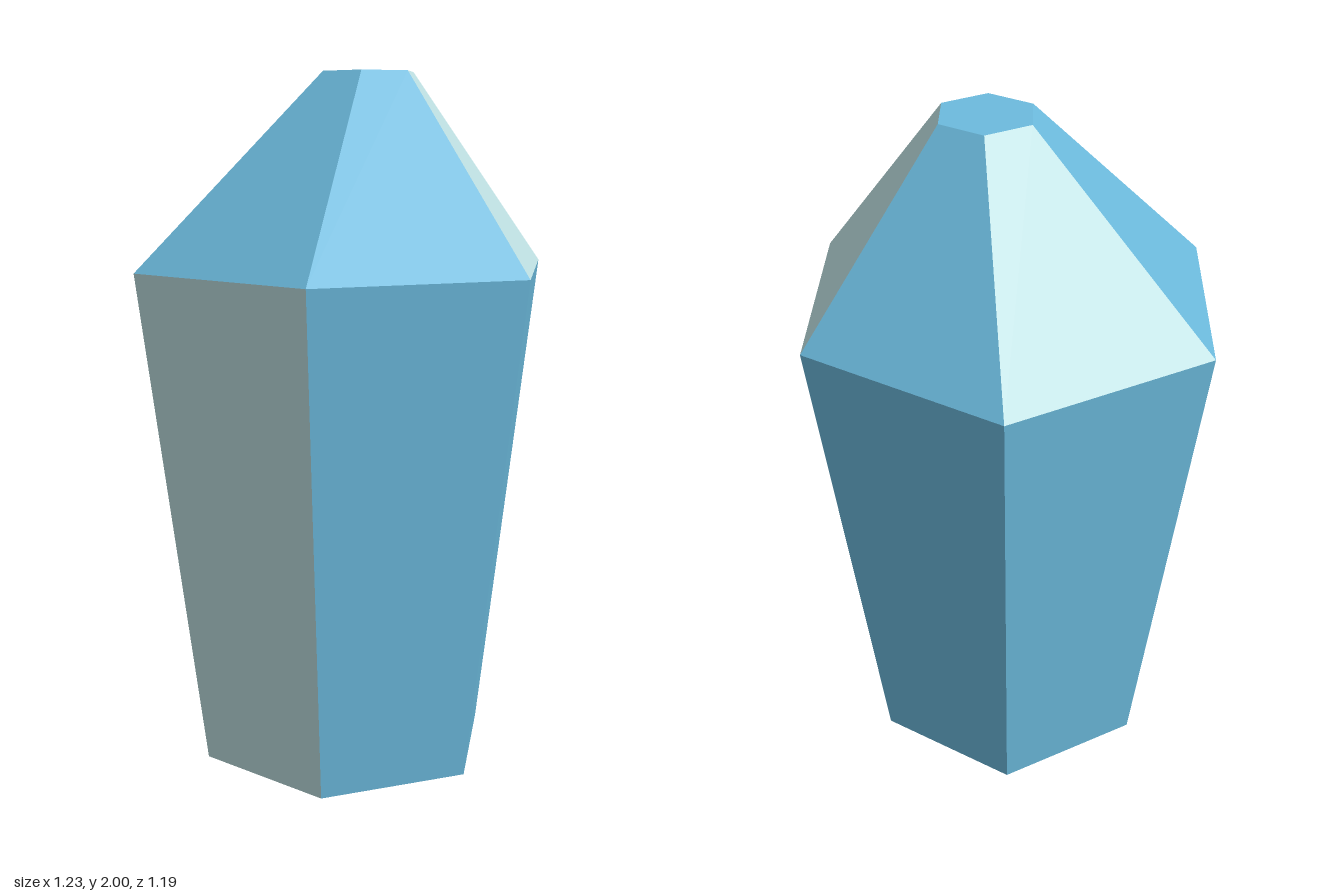
import * as THREE from 'three';

const SIDES = 6;
const TURN = THREE.MathUtils.degToRad(-11.8);

// One hexagonal cross-section of the crystal
function ring(radius, y, cx = 0) {
  return Array.from({ length: SIDES }, (_, i) => {
    const a = TURN + (i / SIDES) * Math.PI * 2;
    return new THREE.Vector3(cx + radius * Math.cos(a), y, radius * Math.sin(a));
  });
}

// Flat facets joining two rings; paleFacets lists those using the second material
function band(name, low, high, materials, paleFacets) {
  const points = [];
  const geometry = new THREE.BufferGeometry();
  for (let i = 0; i < SIDES; i++) {
    const j = (i + 1) % SIDES;
    points.push(low[j], low[i], high[i], low[j], high[i], high[j]);
    geometry.addGroup(i * 6, 6, paleFacets.includes(i) ? 1 : 0);
  }
  geometry.setFromPoints(points);
  geometry.computeVertexNormals();
  const mesh = new THREE.Mesh(geometry, materials);
  mesh.name = name;
  return mesh;
}

// Flat hexagon closing a ring
function cap(name, corners, material, facesUp) {
  const points = [];
  for (let i = 1; i < SIDES - 1; i++) {
    const [p, q] = facesUp ? [corners[i + 1], corners[i]] : [corners[i], corners[i + 1]];
    points.push(corners[0], p, q);
  }
  const geometry = new THREE.BufferGeometry().setFromPoints(points);
  geometry.computeVertexNormals();
  const mesh = new THREE.Mesh(geometry, material);
  mesh.name = name;
  return mesh;
}

export function createModel() {
  const blue = new THREE.MeshStandardMaterial({ color: 0x6cbbde });
  blue.name = 'crystal blue';
  const pale = new THREE.MeshStandardMaterial({ color: 0xbee0e2 });
  pale.name = 'pale ice';

  // Narrow foot, wide shoulder, small off-centre tip
  const foot = ring(0.44, 0);
  const shoulder = ring(0.626, 1.45);
  const tip = ring(0.138, 2, 0.064);

  const model = new THREE.Group();
  model.name = 'crystal';
  model.add(
    band('shaft', foot, shoulder, [blue, pale], [2]),
    band('crown', shoulder, tip, [blue, pale], [0, 4]),
    cap('tipFacet', tip, blue, true),
    cap('baseFacet', foot, pale, false),
  );
  return model;
}
